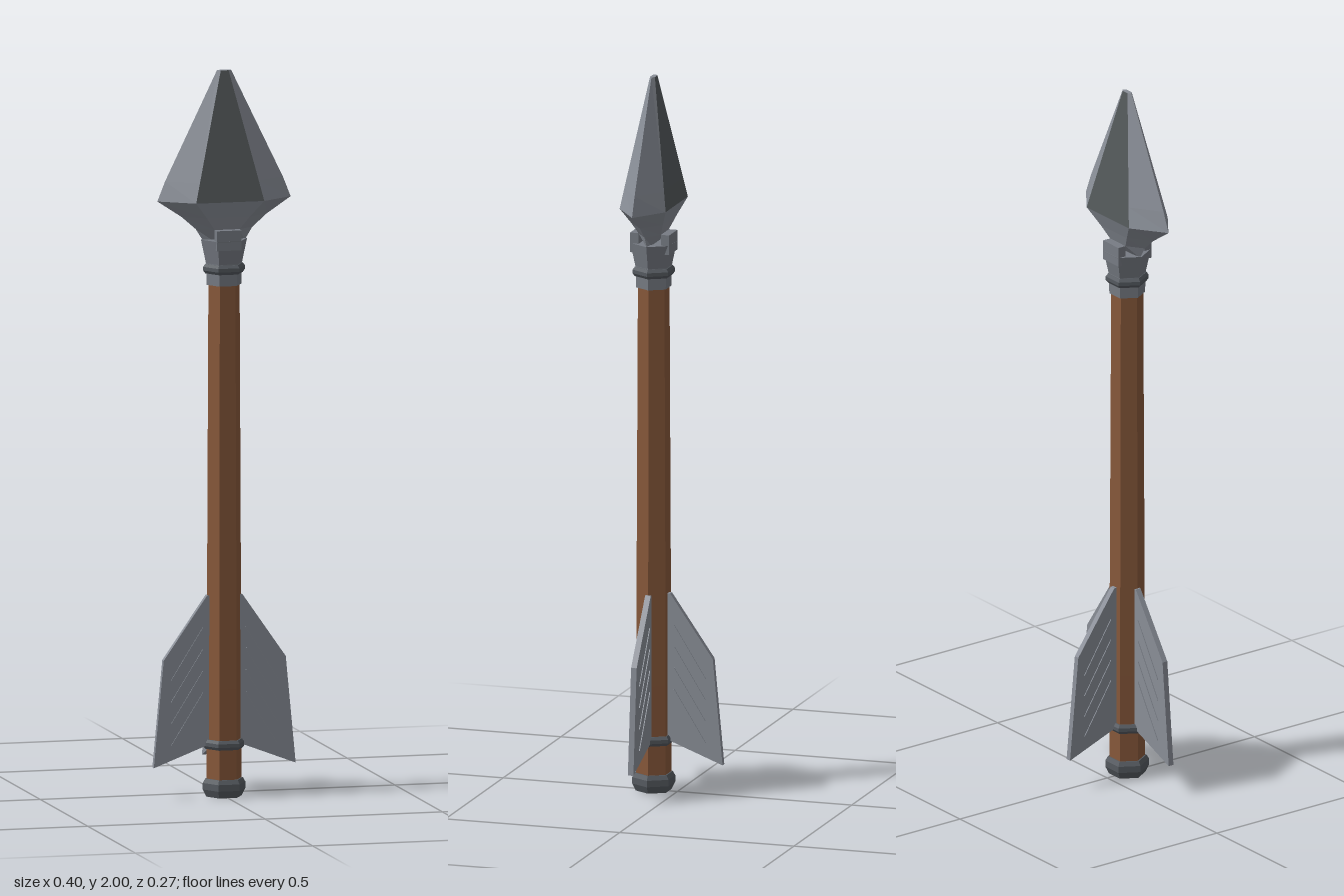
import * as THREE from 'three';

const AXIS_Z = 0.068;

export function createModel() {
  const material = (name, color) => {
    const m = new THREE.MeshStandardMaterial({ color, flatShading: true });
    m.name = name;
    return m;
  };
  const wood = material('wood', 0x87583a);
  const steel = material('steel', 0x8a8f98);
  const darkSteel = material('darkSteel', 0x53585a);
  const socketSteel = material('socketSteel', 0x777c84);
  const bandSteel = material('bandSteel', 0x555a60);

  const model = new THREE.Group();
  model.name = 'arrow';
  const arrow = new THREE.Group();
  arrow.name = 'arrowParts';
  arrow.position.z = AXIS_Z;
  model.add(arrow);

  const add = (name, geometry, mat, parent = arrow) => {
    const mesh = new THREE.Mesh(geometry, mat);
    mesh.name = name;
    parent.add(mesh);
    return mesh;
  };
  // six-sided turned part with corners on the x axis
  const turned = (name, profile, mat) => add(name, new THREE.LatheGeometry(
    profile.map(([r, y]) => new THREE.Vector2(r, y)), 6, Math.PI / 2), mat);

  // shaft
  turned('shaft', [[0, 0.004], [0.049, 0.004], [0.049, 0.3], [0.044, 1.42], [0, 1.42]], wood);

  // pommel and binding rings
  turned('pommel', [[0.044, 0], [0.05, 0], [0.06, 0.02], [0.06, 0.038], [0.053, 0.05], [0.044, 0.05]], bandSteel);
  for (const [name, y] of [['lowerBand', 0.145], ['upperBand', 1.455]]) {
    turned(name, [[0.04, y - 0.013], [0.053, y - 0.013], [0.059, y - 0.005],
      [0.059, y + 0.005], [0.053, y + 0.013], [0.04, y + 0.013]], bandSteel);
  }

  // socket, with a prong on the front and back holding the head
  turned('socket', [[0.04, 1.41], [0.049, 1.41], [0.051, 1.47], [0.065, 1.535], [0, 1.535]], socketSteel);
  for (const side of [1, -1]) {
    const prong = add(side > 0 ? 'frontProng' : 'backProng',
      new THREE.BoxGeometry(0.07, 0.055, 0.024), socketSteel);
    prong.position.set(0, 1.5375, side * 0.044);
  }

  // arrowhead
  add('arrowhead', headGeometry(), [steel, darkSteel]);

  // three fins with slanted ribs
  const outline = new THREE.Shape([[0.03, 0.15], [0.2, 0.085], [0.172, 0.38], [0.05, 0.555], [0.03, 0.555]]
    .map(([x, y]) => new THREE.Vector2(x, y)));
  const finGeometry = new THREE.ExtrudeGeometry(outline, { depth: 0.016, bevelEnabled: false });
  finGeometry.translate(0, 0, -0.008);
  const ribGeometry = new THREE.BoxGeometry(0.005, 0.17, 0.021);
  [['leftFin', 0], ['backFin', Math.PI / 2], ['rightFin', Math.PI]].forEach(([name, angle]) => {
    const fin = new THREE.Group();
    fin.name = name;
    fin.rotation.y = angle;
    arrow.add(fin);
    add('vane', finGeometry, steel, fin);
    for (let i = 0; i < 4; i++) {
      const rib = add('rib', ribGeometry, steel, fin);
      rib.position.set(0.105, 0.395 - i * 0.06, 0);
      rib.rotation.z = 0.56;
    }
  });
  return model;
}

// stretched six-sided rings; the broad front and back blades use the second material
function headGeometry() {
  // y, side corner x, blade corner x, blade corner z
  const rings = [
    [1.53, 0.058, 0.03, 0.004],
    [1.565, 0.08, 0.035, 0.032],
    [1.6, 0.12, 0.06, 0.046],
    [1.645, 0.188, 0.096, 0.066],
    [1.7, 0.166, 0.083, 0.057],
    [2, 0.02, 0.011, 0.007],
  ].map(([y, sx, bx, z]) => [[sx, y, 0], [bx, y, z], [-bx, y, z], [-sx, y, 0], [-bx, y, -z], [bx, y, -z]]);
  const faces = [[], []];
  for (let r = 0; r < rings.length - 1; r++) {
    for (let i = 0; i < 6; i++) {
      const j = (i + 1) % 6;
      const [a, b, c, d] = [rings[r][i], rings[r][j], rings[r + 1][j], rings[r + 1][i]];
      faces[r >= 3 && i % 3 === 1 ? 1 : 0].push(a, c, b, a, d, c);
    }
  }
  const top = rings[rings.length - 1];
  for (let i = 1; i < 5; i++) {
    faces[0].push(top[0], top[i], top[i + 1], rings[0][0], rings[0][i + 1], rings[0][i]);
  }
  // caps run front to back around y, so reverse every triangle of the walls to match
  const flip = (list) => {
    const out = [];
    for (let i = 0; i < list.length; i += 3) {
      const [a, b, c] = list.slice(i, i + 3).map((p) => new THREE.Vector3(...p));
      const normal = b.clone().sub(a).cross(c.clone().sub(a));
      const outward = a.clone().add(b).add(c).divideScalar(3).sub(new THREE.Vector3(0, 1.66, 0));
      out.push(a, ...(normal.dot(outward) < 0 ? [c, b] : [b, c]));
    }
    return out;
  };
  const light = flip(faces[0]);
  const dark = flip(faces[1]);
  const geometry = new THREE.BufferGeometry().setFromPoints([...light, ...dark]);
  geometry.addGroup(0, light.length, 0);
  geometry.addGroup(light.length, dark.length, 1);
  geometry.computeVertexNormals();
  return geometry;
}
